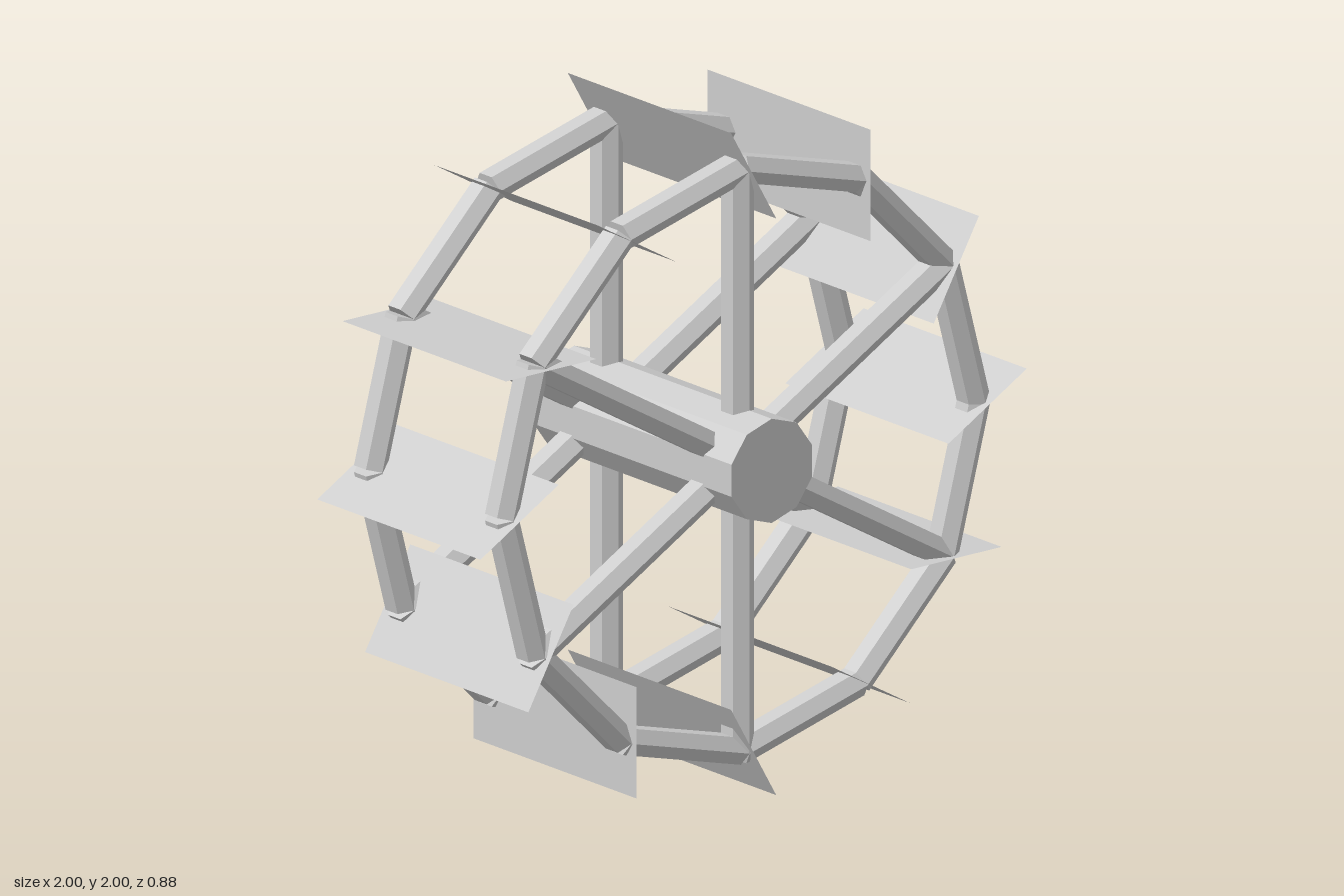
import * as THREE from 'three';

const SEGMENTS = 12, SPOKES = 6;
const RIM_RADIUS = 0.865, RIM_Z = 0.293, OFFSET_Z = -0.004;

export function createModel() {
  const wood = new THREE.MeshStandardMaterial({ color: 0xcccccc, flatShading: true, side: THREE.DoubleSide });
  wood.name = 'plain grey';

  const model = new THREE.Group();
  model.name = 'waterWheel';
  const wheel = new THREE.Group();
  wheel.name = 'wheel';
  wheel.position.y = 1;
  model.add(wheel);

  // Six-sided beam with ridges facing front and back, laid between two points
  function beam(name, a, b, z) {
    const dir = b.clone().sub(a);
    const geo = new THREE.CylinderGeometry(0.054, 0.054, dir.length(), 6);
    geo.scale(0.834, 1, 1);
    const mesh = new THREE.Mesh(geo, wood);
    mesh.name = name;
    mesh.position.set((a.x + b.x) / 2, (a.y + b.y) / 2, z);
    mesh.rotation.z = Math.atan2(dir.y, dir.x) - Math.PI / 2;
    wheel.add(mesh);
  }
  const polar = (angle) => new THREE.Vector2(Math.cos(angle), Math.sin(angle)).multiplyScalar(RIM_RADIUS);

  // Ten-sided hub
  const hubGeo = new THREE.CylinderGeometry(0.155, 0.155, 0.884, 10);
  hubGeo.rotateX(Math.PI / 2);
  const hub = new THREE.Mesh(hubGeo, wood);
  hub.name = 'hub';
  wheel.add(hub);

  // Two rims with spokes
  for (const side of [1, -1]) {
    const z = side * RIM_Z + OFFSET_Z;
    const step = (Math.PI * 2) / SEGMENTS;
    for (let i = 0; i < SEGMENTS; i++) beam('rimSegment', polar(i * step), polar((i + 1) * step), z);
    for (let i = 0; i < SPOKES; i++) {
      beam('spoke', new THREE.Vector2(0, 0), polar(Math.PI / 2 + (i * Math.PI * 2) / SPOKES), z);
    }
  }

  // Thin paddles at the rim corners, tilted 30 degrees from radial
  const paddleGeo = new THREE.PlaneGeometry(0.331, 0.73);
  paddleGeo.rotateX(-Math.PI / 2);
  for (let i = 0; i < SEGMENTS; i++) {
    const angle = (i / SEGMENTS) * Math.PI * 2;
    const p = polar(angle).multiplyScalar(0.857 / RIM_RADIUS);
    const paddle = new THREE.Mesh(paddleGeo, wood);
    paddle.name = 'paddle';
    paddle.position.set(p.x, p.y, OFFSET_Z);
    paddle.rotation.z = angle + Math.PI / 6;
    wheel.add(paddle);
  }
  return model;
}
